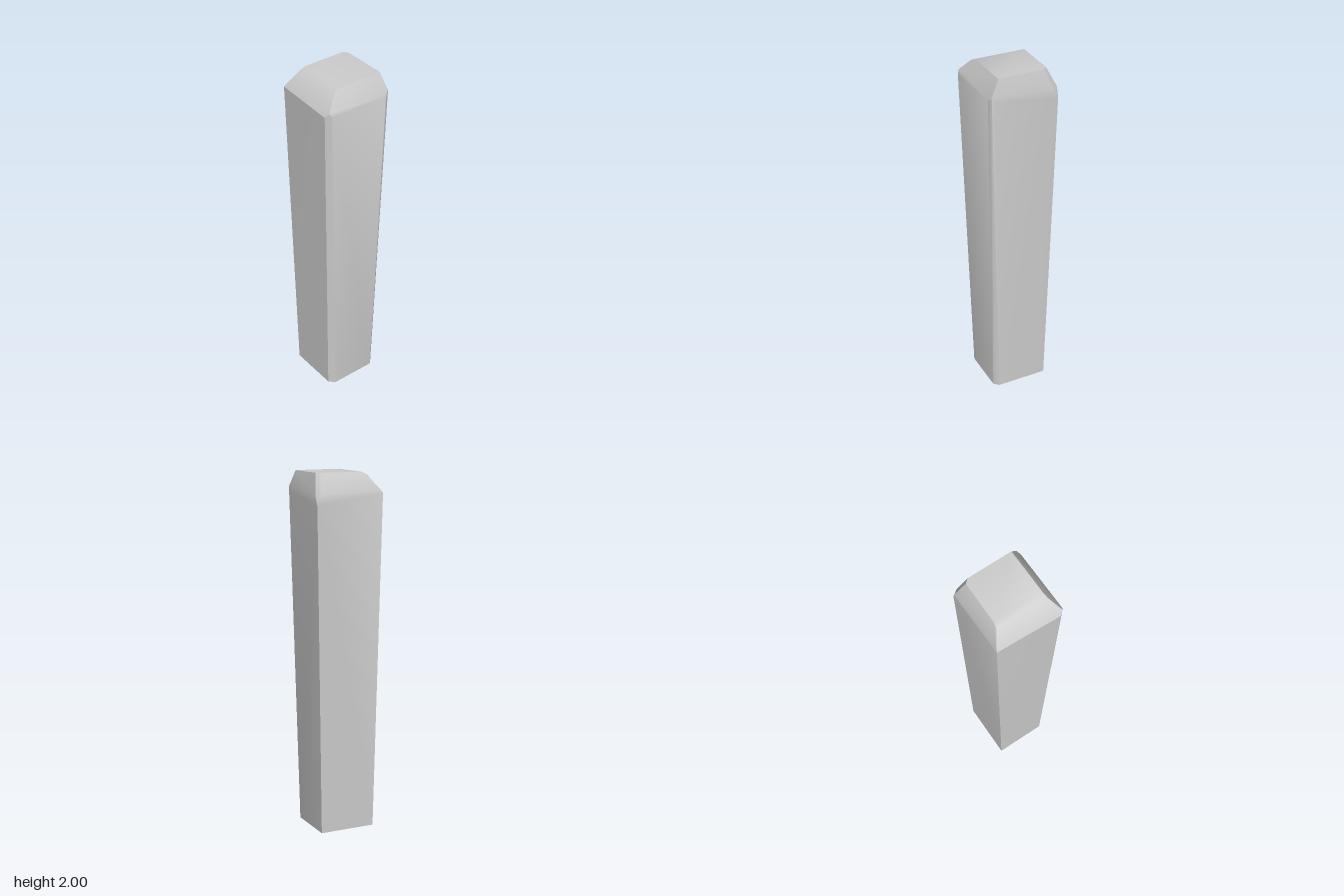
import * as THREE from 'three';
import { ConvexGeometry } from 'three/addons/geometries/ConvexGeometry.js';
import { toCreasedNormals } from 'three/addons/utils/BufferGeometryUtils.js';

export function createModel() {
  const group = new THREE.Group();
  group.name = 'post';

  // Foot: small square, corners cut on the left side only
  const foot = [
    [-0.165, 0, 0.155], [0.125, 0, 0.155], [0.155, 0, 0.125],
    [0.155, 0, -0.138], [0.128, 0, -0.165], [-0.165, 0, -0.165],
  ];
  // Shoulder: widest section, with raised tips above the cut corners
  const shoulder = [
    [-0.2, 1.89, 0.187], [0.168, 1.885, 0.202],
    [0.187, 1.91, 0.187], [0.197, 1.89, 0.175],
    [0.192, 1.89, -0.176], [0.18, 1.91, -0.198], [0.165, 1.885, -0.203],
    [-0.175, 1.89, -0.203], [-0.2, 1.89, -0.185],
    [-0.199, 1.83, -0.202], // chip fades into the sharp back edge
  ];
  // Cap: flat top that rolls over towards the front
  const cap = [
    [-0.152, 1.985, 0.115], [0.143, 1.985, 0.12],
    [-0.147, 2, 0.085], [0.136, 2, 0.09],
    [0.133, 2, -0.178], [-0.125, 2, -0.178], [-0.147, 2, -0.158],
  ];

  // The block is the convex skin over these three sections
  const points = [...foot, ...shoulder, ...cap].map((p) => new THREE.Vector3(...p));
  const geometry = toCreasedNormals(new ConvexGeometry(points), 0.55);
  const block = new THREE.Mesh(geometry, new THREE.MeshStandardMaterial({ color: 0xcccccc }));
  block.name = 'taperedPost';
  group.add(block);
  return group;
}
